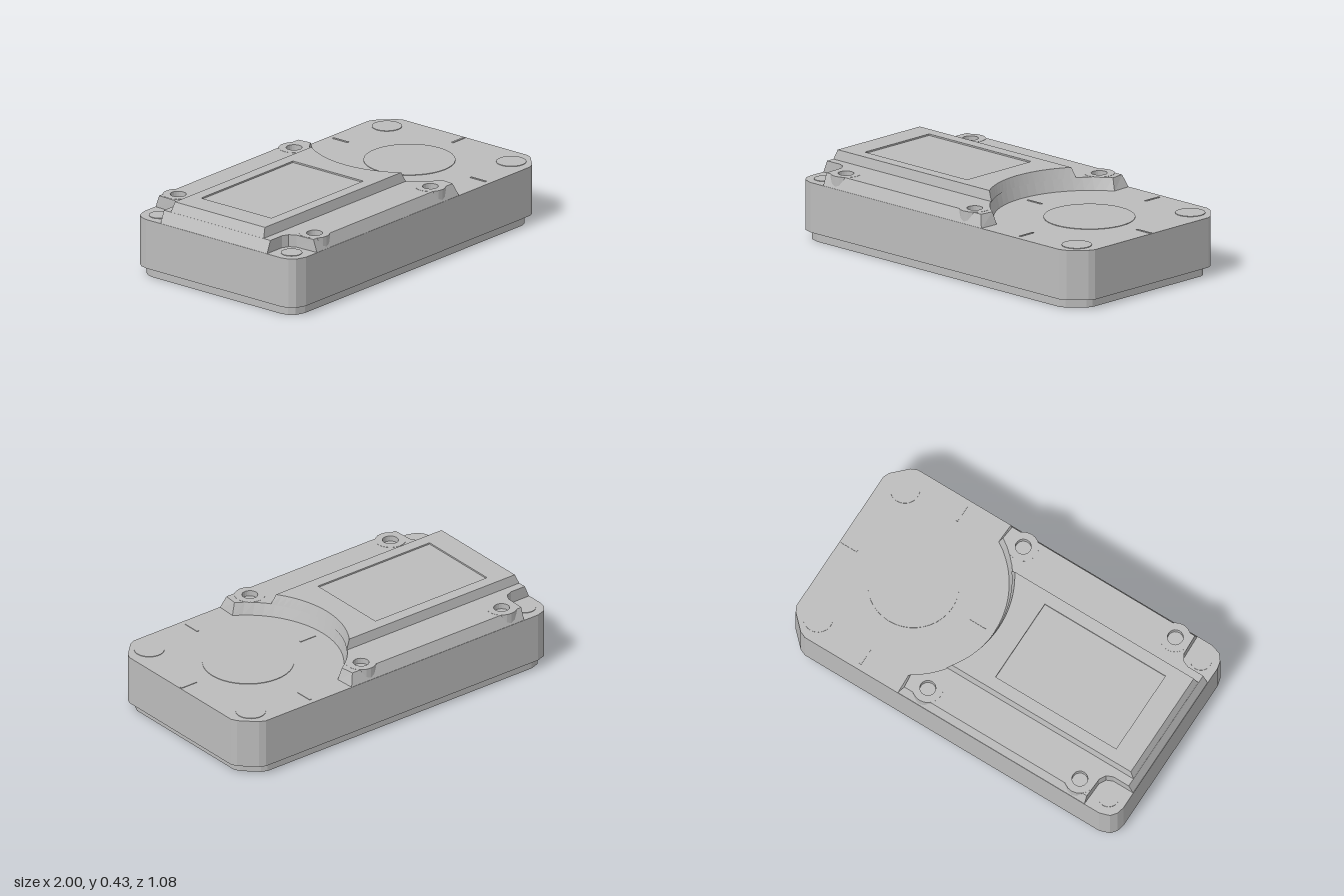
import * as THREE from 'three';

// Outline points are [x, z], running anticlockwise as seen from above.
const mirror = half => [...half, ...half.filter(p => p[1] > 0).reverse().map(([x, z]) => [x, -z])];
const circle = (cx, cz, r, n = 20) => Array.from({ length: n }, (_, i) => {
  const a = (i / n) * Math.PI * 2;
  return [cx + r * Math.cos(a), cz - r * Math.sin(a)];
});
// Concave arc around the round dial, from half width z to the centre line
const dialArc = (r, z, n = 10) => Array.from({ length: n + 1 }, (_, i) => {
  const a = Math.asin(z / r) * (1 - i / n);
  return [0.57 - r * Math.cos(a), i === n ? 0 : r * Math.sin(a)];
});

// Solid between two outlines, with optional blind pockets in its top
function loft(bottom, top, y0, y1, pockets = []) {
  const pos = [];
  const tri = (...pts) => pts.forEach(p => pos.push(...p));
  const walls = (low, high, ya, yb) => low.forEach(([x, z], i) => {
    const j = (i + 1) % low.length;
    const a = [x, ya, z], b = [low[j][0], ya, low[j][1]];
    const c = [high[j][0], yb, high[j][1]], d = [high[i][0], yb, high[i][1]];
    tri(a, b, c);
    tri(a, c, d);
  });
  const cap = (outline, y, up, holes = []) => {
    const v = list => list.map(([x, z]) => new THREE.Vector2(x, -z));
    const all = [outline, ...holes].flat();
    for (const f of THREE.ShapeUtils.triangulateShape(v(outline), holes.map(v))) {
      const [a, b, c] = f.map(i => [all[i][0], y, all[i][1]]);
      const facesUp = (b[2] - a[2]) * (c[0] - a[0]) - (b[0] - a[0]) * (c[2] - a[2]) > 0;
      facesUp === up ? tri(a, b, c) : tri(a, c, b);
    }
  };
  walls(bottom, top, y0, y1);
  cap(bottom, y0, false);
  cap(top, y1, true, pockets.map(p => p.outline));
  for (const { outline, depth } of pockets) {
    const inner = [...outline].reverse();
    walls(inner, inner, y1 - depth, y1);
    cap(outline, y1 - depth, true);
  }
  const g = new THREE.BufferGeometry();
  g.setAttribute('position', new THREE.Float32BufferAttribute(pos, 3));
  g.computeVertexNormals();
  return g;
}

export function createModel() {
  const model = new THREE.Group();
  const grey = new THREE.MeshStandardMaterial({ color: 0xbcbcbc });
  grey.name = 'grey casing';
  const add = (name, geometry, x = 0, y = 0, z = 0) => {
    const mesh = new THREE.Mesh(geometry, grey);
    mesh.name = name;
    mesh.position.set(x, y, z);
    model.add(mesh);
  };

  // Main casing: rounded left corners, clipped right corners
  const body = mirror([
    [-1, 0.45], [-0.99, 0.49], [-0.965, 0.522], [-0.91, 0.54],
    [0.87, 0.54], [0.905, 0.525], [0.985, 0.447], [1, 0.415],
  ]);
  const foot = body.map(([x, z]) => [x * 0.97 - 0.005, z * 0.954]);
  add('foot', loft(foot, foot, 0, 0.06));
  add('casing', loft(body, body, 0.05, 0.315));

  // Raised deck with corner notches, sloping sides and screw wells
  const screws = [-0.74, 0.18].flatMap(x => [1, -1].map(s => [x, s * 0.455]));
  const notch = left => [[left, 0.355], [-0.88, 0.355], [-0.845, 0.37], [-0.825, 0.405]];
  const deckLow = mirror([...notch(-1), [-0.82, 0.54], [0.31, 0.54], ...dialArc(0.5, 0.43)]);
  const deckHigh = mirror([...notch(-0.972), [-0.82, 0.515], [0.285, 0.515], ...dialArc(0.52, 0.44)]);
  add('deck', loft(deckLow, deckHigh, 0.31, 0.38,
    screws.map(([x, z]) => ({ outline: circle(x, z, 0.05), depth: 0.04 }))));

  // Round screw bosses that break through the sloping deck sides
  for (const [x, z] of screws) {
    const rim = circle(x, z, 0.08);
    add('screwBoss', loft(rim, rim, 0.325, 0.381, [{ outline: circle(x, z, 0.041), depth: 0.03 }]));
  }

  // Central ridge with a shallow recessed panel
  const ridgeLow = mirror([[-0.972, 0.31], ...dialArc(0.515, 0.31)]);
  const ridgeHigh = mirror([[-0.95, 0.3], ...dialArc(0.53, 0.3)]);
  const panel = mirror([[-0.82, 0.235], [-0.09, 0.235]]);
  add('ridge', loft(ridgeLow, ridgeHigh, 0.378, 0.432, [{ outline: panel, depth: 0.008 }]));

  // Thin round plates: the dial and the four corner discs
  const disc = (name, x, z, r) => add(name, new THREE.CylinderGeometry(r, r, 0.004, 40), x, 0.316, z);
  disc('dial', 0.555, 0, 0.235);
  for (const s of [1, -1]) {
    disc('rightCornerDisc', 0.87, s * 0.415, 0.077);
    disc('leftCornerDisc', -0.905, s * 0.44, 0.055);
    // Tick marks around the dial
    add('sideTick', new THREE.BoxGeometry(0.012, 0.004, 0.1), 0.555, 0.316, s * 0.46);
    add('endTick', new THREE.BoxGeometry(0.1, 0.004, 0.012), 0.555 + s * 0.39, 0.316, 0);
  }
  return model;
}
